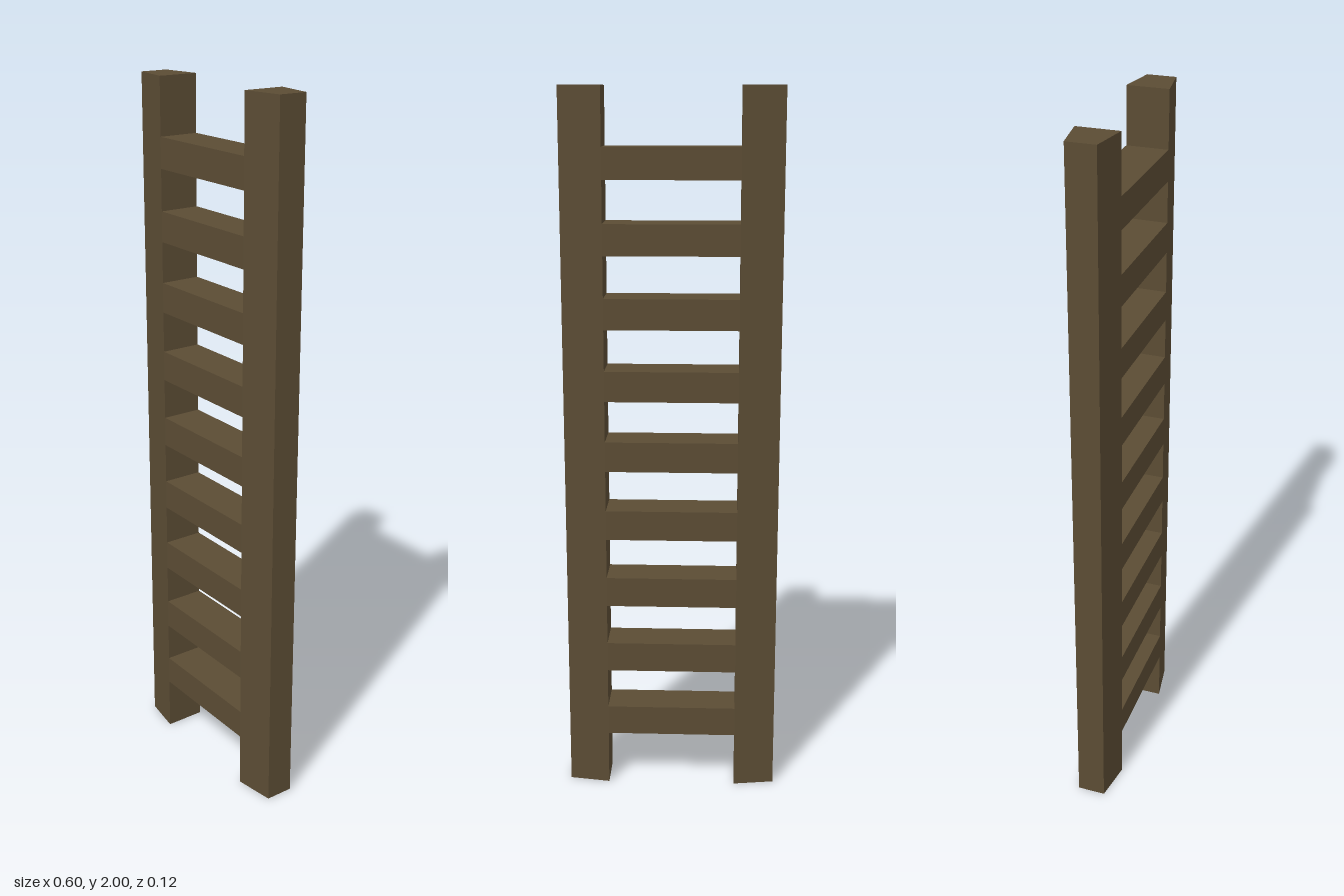
import * as THREE from 'three';

const HEIGHT = 2;
const INNER_X = 0.185, OUTER_X = 0.3;
const INNER_Z = 0.058, OUTER_Z = 0.04;
const RUNGS = 9, RUNG_SPACING = 0.2, RUNG_HEIGHT = 0.085;

export function createModel() {
  const ladder = new THREE.Group();
  ladder.name = 'ladder';
  const wood = new THREE.MeshStandardMaterial({ color: 0x5b4c34 });
  wood.name = 'dark wood';

  // Upright rails: a trapezoid section, narrowing outwards
  const section = new THREE.Shape([
    new THREE.Vector2(INNER_X, -INNER_Z),
    new THREE.Vector2(OUTER_X, -OUTER_Z),
    new THREE.Vector2(OUTER_X, OUTER_Z),
    new THREE.Vector2(INNER_X, INNER_Z),
  ]);
  const railGeometry = new THREE.ExtrudeGeometry(section, { depth: HEIGHT, bevelEnabled: false });
  railGeometry.rotateX(-Math.PI / 2);
  for (const side of ['left', 'right']) {
    const rail = new THREE.Mesh(railGeometry, wood);
    rail.name = `${side}Rail`;
    if (side === 'right') rail.rotation.y = Math.PI;
    ladder.add(rail);
  }

  // Evenly spaced rungs, flush with the inner edges of the rails
  const rungGeometry = new THREE.BoxGeometry(INNER_X * 2, RUNG_HEIGHT, INNER_Z * 2);
  for (let i = 1; i <= RUNGS; i++) {
    const rung = new THREE.Mesh(rungGeometry, wood);
    rung.name = `rung${i}`;
    rung.position.y = i * RUNG_SPACING;
    ladder.add(rung);
  }

  return ladder;
}
